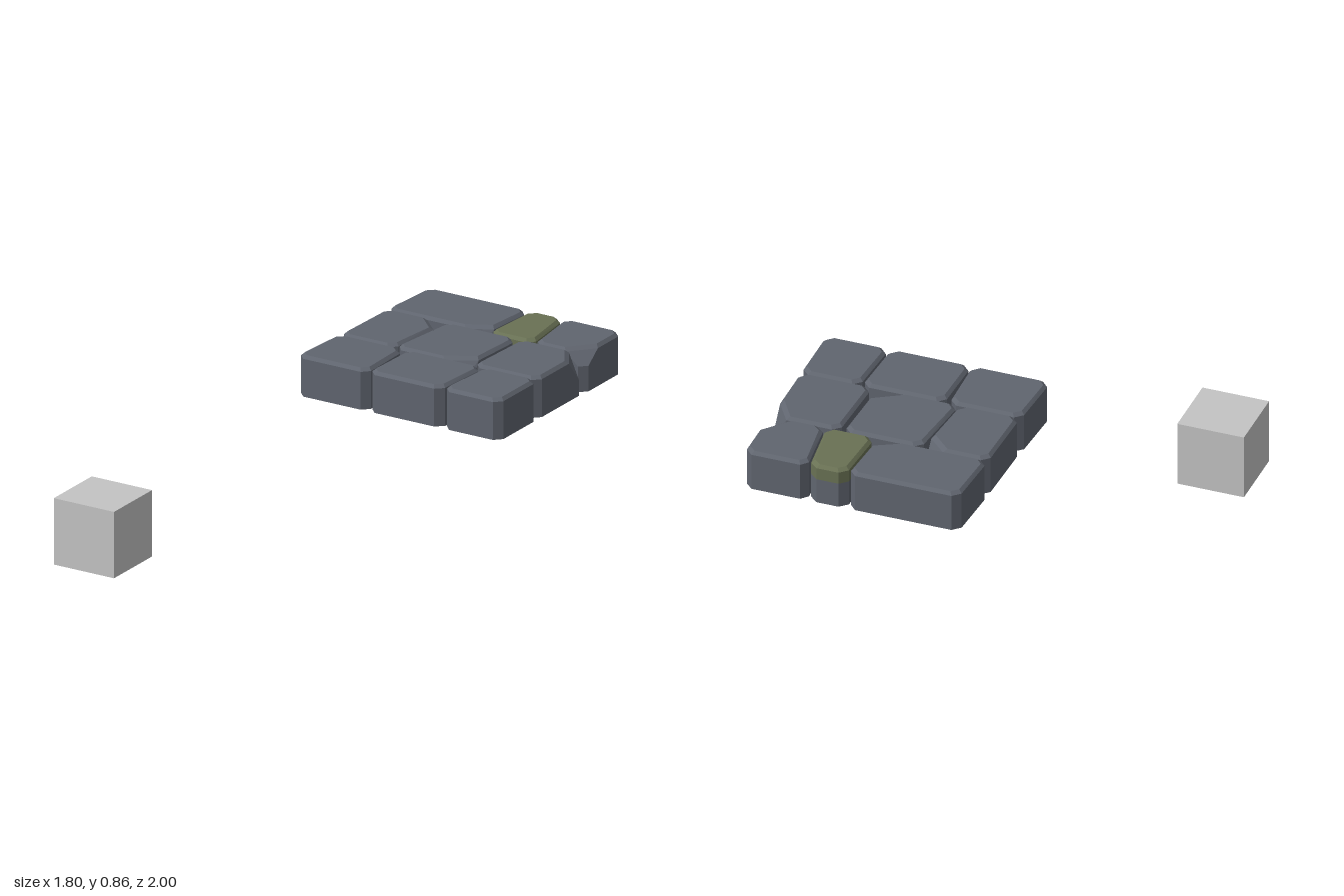
import * as THREE from 'three';
import { ConvexGeometry } from 'three/addons/geometries/ConvexGeometry.js';

const BASE = 0.66, TOP = 0.86, BEVEL = 0.015, CHAMFER = 0.035;

function material(name, color) {
  const m = new THREE.MeshStandardMaterial({ color, flatShading: true });
  m.name = name;
  return m;
}

// Corners run back left, back right, front right, front left.
function corners([bl, br, fr, fl], z0, z1, inset = 0) {
  return [
    [bl + inset, z0 + inset], [br - inset, z0 + inset],
    [fr - inset, z1 - inset], [fl + inset, z1 - inset],
  ];
}

// The two points either side of corner i, dx and dz along its edges.
function cutCorner(c, i, dx, dz) {
  return [(i + 3) % 4, (i + 1) % 4].map((j) => {
    const ex = c[j][0] - c[i][0], ez = c[j][1] - c[i][1];
    const t = (Math.abs(ex) > Math.abs(ez) ? dx : dz) / Math.hypot(ex, ez);
    return [c[i][0] + ex * t, c[i][1] + ez * t];
  });
}

// Block with chamfered corners, optional bevelled top and one broken corner.
function blockGeometry(xs, z0, z1, y0, y1, bevel, chip) {
  const outer = corners(xs, z0, z1), inner = corners(xs, z0, z1, bevel);
  const points = [];
  const add = (list, y) => list.forEach(([x, z]) => points.push(new THREE.Vector3(x, y, z)));
  for (let i = 0; i < 4; i++) {
    const edge = cutCorner(outer, i, CHAMFER, CHAMFER);
    add(edge, y0);
    if (chip && chip.corner === i) {
      add(edge, y1 - chip.depth);
      add(cutCorner(outer, i, chip.dx, chip.dz), y1 - bevel);
      add(cutCorner(inner, i, chip.dx, chip.dz), y1);
    } else {
      add(edge, y1 - bevel);
      if (bevel) add(cutCorner(inner, i, CHAMFER - 0.005, CHAMFER - 0.005), y1);
    }
  }
  return new ConvexGeometry(points);
}

export function createModel() {
  const group = new THREE.Group();
  group.name = 'pavingAndCube';
  const stone = material('slateStone', 0x60656f);
  const moss = material('mossGreen', 0x697154);
  const grey = material('lightGrey', 0xc4c4c4);

  const add = (name, geometry, mat) => {
    const mesh = new THREE.Mesh(geometry, mat);
    mesh.name = name;
    group.add(mesh);
    return mesh;
  };

  // Three rows of irregular stones
  const rows = [
    { name: 'back', z: [-1, -0.676], stones: [
      { xs: [-0.145, 0.395, 0.37, -0.165], chip: { corner: 2, dx: 0.11, dz: 0.06, depth: 0.1 } },
      { xs: [0.405, 0.582, 0.622, 0.385], mossy: true },
      { xs: [0.592, 0.9, 0.9, 0.63], chip: { corner: 2, dx: 0.1, dz: 0.115, depth: 0.075 } },
    ] },
    { name: 'middle', z: [-0.674, -0.288], stones: [
      { xs: [-0.165, 0.153, 0.117, -0.175], chip: { corner: 1, dx: 0.1, dz: 0.09, depth: 0.1 } },
      { xs: [0.163, 0.538, 0.52, 0.122], chip: { corner: 2, dx: 0.13, dz: 0.08, depth: 0.1 } },
      { xs: [0.56, 0.893, 0.893, 0.545], chip: { corner: 1, dx: 0.075, dz: 0.12, depth: 0.12 } },
    ] },
    { name: 'front', z: [-0.286, 0.04], stones: [
      { xs: [-0.18, 0.172, 0.18, -0.2] },
      { xs: [0.195, 0.597, 0.577, 0.185] },
      { xs: [0.607, 0.893, 0.893, 0.587] },
    ] },
  ];
  const seam = 0.785;
  for (const row of rows) {
    row.stones.forEach(({ xs, chip, mossy }, i) => {
      const name = `${row.name}Stone${i + 1}`;
      const [z0, z1] = row.z;
      if (mossy) {
        add(name, blockGeometry(xs, z0, z1, BASE, seam, 0), stone);
        add('mossCap', blockGeometry(xs, z0, z1, seam, TOP, BEVEL), moss);
      } else {
        add(name, blockGeometry(xs, z0, z1, BASE, TOP, BEVEL, chip), stone);
      }
    });
  }

  // Separate plain cube
  const size = 0.325;
  add('cube', new THREE.BoxGeometry(size, size, size), grey)
    .position.set(-0.742, size / 2, 0.8375);

  return group;
}
